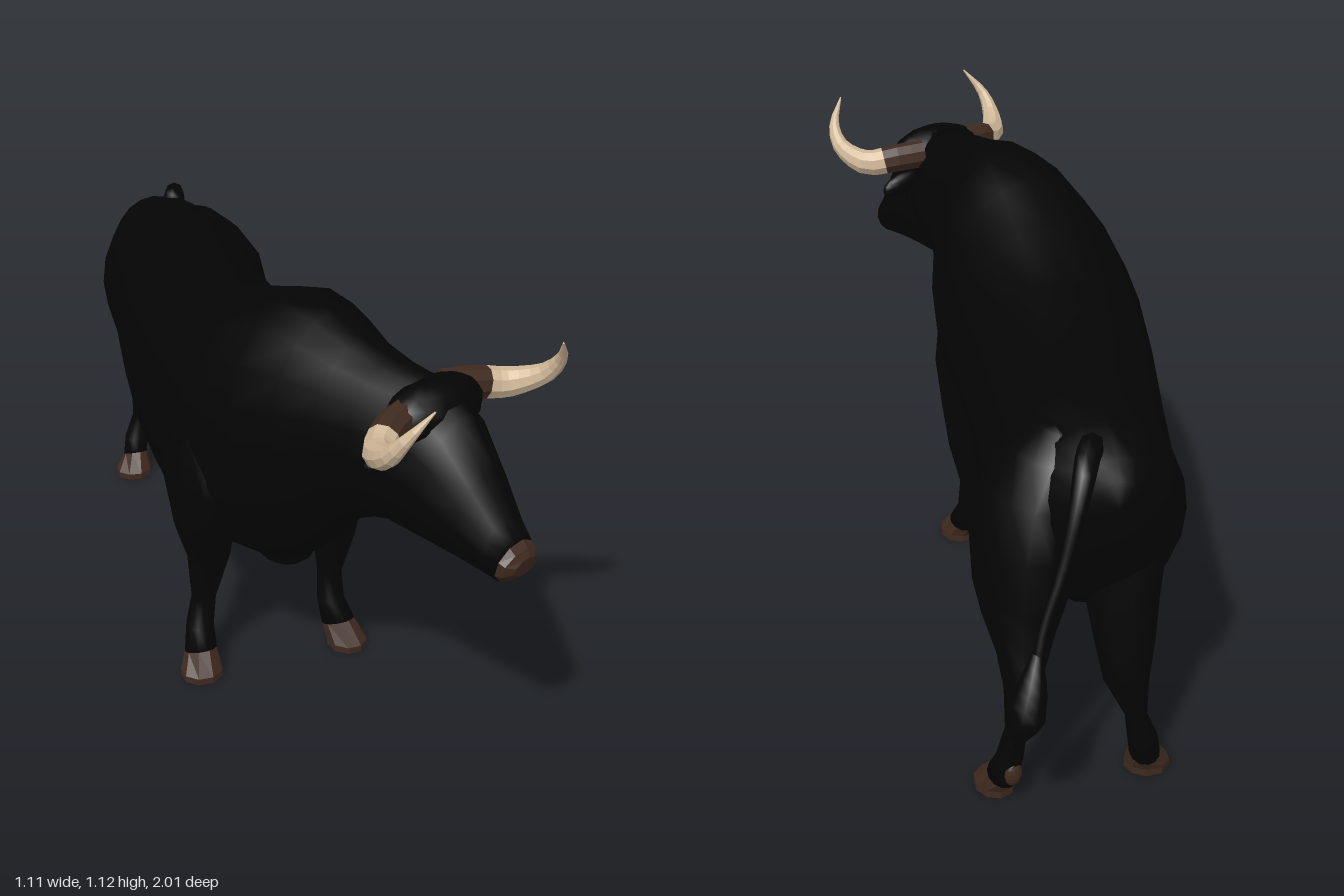
import * as THREE from 'three';

const V = (x, y, z) => new THREE.Vector3(x, y, z);

// Skin closed rings {c, u, v} (centre and two half axes), capped at both ends
function loft(rings, n) {
  const pos = [], idx = [];
  for (const { c, u, v } of rings) {
    for (let j = 0; j < n; j++) {
      const a = (j / n) * Math.PI * 2;
      const p = c.clone().addScaledVector(u, Math.cos(a)).addScaledVector(v, Math.sin(a));
      pos.push(p.x, p.y, p.z);
    }
  }
  for (let i = 0; i < rings.length - 1; i++) {
    for (let j = 0; j < n; j++) {
      const k = (j + 1) % n, a = i * n + j, b = i * n + k;
      idx.push(a, b, a + n, b, b + n, a + n);
    }
  }
  const s = rings.length * n, e = s + 1, last = s - n;
  pos.push(...rings[0].c.toArray(), ...rings[rings.length - 1].c.toArray());
  for (let j = 0; j < n; j++) {
    const k = (j + 1) % n;
    idx.push(s, k, j, e, last + j, last + k);
  }
  const g = new THREE.BufferGeometry();
  g.setAttribute('position', new THREE.Float32BufferAttribute(pos, 3));
  g.setIndex(idx);
  g.computeVertexNormals();
  return g;
}

// Upright ring: x, top y, top z, bottom y, bottom z, half width, yaw
const slice = ([x, ty, tz, by, bz, w, a = 0]) => ({
  c: V(x, (ty + by) / 2, (tz + bz) / 2),
  u: V(Math.cos(a) * w, 0, Math.sin(a) * w),
  v: V(0, (ty - by) / 2, (tz - bz) / 2),
});

// Level ring for limbs: x, y, z, half width, half depth, rise at the front
const level = (a) => ([x, y, z, w, d, rise = 0]) => ({
  c: V(x, y, z),
  u: V(Math.cos(a) * w, 0, Math.sin(a) * w),
  v: V(-Math.sin(a) * d, rise, Math.cos(a) * d),
});

// Tapered tube along part t0..t1 of a curve; radii spread evenly over the whole curve
function taper(points, radii, t0, t1, steps, n) {
  const curve = new THREE.CatmullRomCurve3(points.map((p) => V(...p)));
  const f = curve.computeFrenetFrames(40);
  const rings = [];
  for (let i = 0; i <= steps; i++) {
    const t = t0 + ((t1 - t0) * i) / steps;
    const q = t * (radii.length - 1), k = Math.min(Math.floor(q), radii.length - 2);
    const r = THREE.MathUtils.lerp(radii[k], radii[k + 1], q - k);
    const m = Math.round(t * 40);
    rings.push({
      c: curve.getPointAt(t),
      u: f.normals[m].clone().multiplyScalar(r),
      v: f.binormals[m].clone().multiplyScalar(r),
    });
  }
  return loft(rings, n);
}

export function createModel() {
  const bull = new THREE.Group();
  bull.name = 'bull';
  const material = (name, color, flatShading) => {
    const m = new THREE.MeshStandardMaterial({ color, flatShading });
    m.name = name;
    return m;
  };
  const black = material('black coat', 0x040404, false);
  const brown = material('dark brown', 0x3f2a1f, true);
  const cream = material('horn cream', 0xd0b898, true);
  const add = (name, geometry, mat) => {
    const m = new THREE.Mesh(geometry, mat);
    m.name = name;
    bull.add(m);
    return m;
  };
  const addBall = (name, mat, position, scale) => {
    const m = add(name, new THREE.SphereGeometry(1, 14, 9), mat);
    m.position.set(...position);
    m.scale.set(...scale);
    return m;
  };

  // Torso and neck, rear to front: x, z, top, bottom, half width, yaw
  const torso = [
    [0.25, -0.93, 0.84, 0.7, 0.05, 0.4],
    [0.24, -0.9, 0.88, 0.58, 0.125, 0.4],
    [0.2, -0.8, 0.912, 0.44, 0.19, 0.4],
    [0.148, -0.65, 0.92, 0.4, 0.213, 0.42],
    [0.04, -0.45, 0.902, 0.375, 0.228, 0.44],
    [-0.09, -0.2, 0.935, 0.36, 0.247, 0.42],
    [-0.18, 0, 1.0, 0.34, 0.262, 0.36],
    [-0.222, 0.15, 1.062, 0.34, 0.26, 0.27],
    [-0.245, 0.28, 1.105, 0.375, 0.23, 0.18],
    [-0.265, 0.4, 1.095, 0.485, 0.187, 0.08],
    [-0.275, 0.5, 1.065, 0.6, 0.152, 0],
    [-0.28, 0.6, 1.05, 0.655, 0.13, 0],
    [-0.275, 0.7, 1.04, 0.68, 0.115, 0],
  ];
  add('torso', loft(torso.map(([x, z, t, b, w, a]) => slice([x, t, z, b, z, w, a])), 20), black);
  addBall('brisket', black, [-0.215, 0.38, 0.17], [0.075, 0.072, 0.1]);

  // Head slopes down to a blunt muzzle
  add('head', loft([
    [-0.277, 1.04, 0.62, 0.7, 0.57, 0.1],
    [-0.275, 1.04, 0.73, 0.66, 0.64, 0.12],
    [-0.27, 0.985, 0.815, 0.655, 0.74, 0.11],
    [-0.265, 0.88, 0.885, 0.65, 0.84, 0.089],
    [-0.262, 0.79, 0.945, 0.64, 0.91, 0.066],
    [-0.26, 0.745, 0.975, 0.636, 0.95, 0.06],
  ].map(slice), 14), black);
  add('muzzle', loft([
    [-0.26, 0.745, 0.975, 0.636, 0.95, 0.06],
    [-0.26, 0.73, 0.99, 0.645, 0.968, 0.056],
    [-0.26, 0.712, 1.0, 0.665, 0.99, 0.035],
  ].map(slice), 9), brown);

  // Broad brow that carries the horns
  addBall('brow', black, [-0.27, 0.97, 0.72], [0.138, 0.072, 0.075]);

  // Horns with dark bases, and ears below them
  const hornPath = [
    [-0.34, 0.982, 0.712], [-0.42, 0.975, 0.735], [-0.49, 0.965, 0.772],
    [-0.532, 1.0, 0.845], [-0.53, 1.05, 0.888], [-0.487, 1.115, 0.925],
  ];
  const hornRadii = [0.04, 0.039, 0.036, 0.025, 0.014, 0.002];
  for (const side of ['right', 'left']) {
    const left = side === 'left';
    const path = left ? hornPath.map(([x, y, z]) => [-0.54 - x, y, z - 0.035]) : hornPath;
    add(side + 'HornBase', taper(path, hornRadii, 0, 0.275, 3, 9), brown);
    add(side + 'Horn', taper(path, hornRadii, 0.275, 1, 10, 9), cream);
    const earPosition = left ? [-0.13, 0.905, 0.68] : [-0.415, 0.905, 0.715];
    const ear = addBall(side + 'Ear', black, earPosition, [0.062, 0.03, 0.02]);
    ear.rotation.z = left ? -0.3 : 0.3;
  }

  // Legs, top to bottom; the final entry is the sole of the hoof
  const legs = {
    leftFront: [0.2, [
      [-0.1, 0.84, 0.2, 0.04, 0.06], [-0.08, 0.74, 0.2, 0.085, 0.13],
      [-0.06, 0.55, 0.19, 0.09, 0.135],
      [-0.05, 0.43, 0.18, 0.075, 0.09], [-0.045, 0.32, 0.182, 0.055, 0.055],
      [-0.048, 0.2, 0.168, 0.032, 0.033], [-0.047, 0.12, 0.172, 0.036, 0.036],
      [-0.045, 0.058, 0.2, 0.043, 0.042, 0.016], [-0.043, 0, 0.232, 0.052, 0.058]]],
    rightFront: [0.3, [
      [-0.36, 0.84, 0.08, 0.04, 0.06], [-0.38, 0.72, 0.08, 0.09, 0.13],
      [-0.388, 0.57, 0.07, 0.092, 0.135],
      [-0.38, 0.43, 0.06, 0.075, 0.09], [-0.362, 0.33, 0.05, 0.055, 0.056],
      [-0.37, 0.2, 0.036, 0.031, 0.034], [-0.385, 0.12, 0.036, 0.036, 0.036],
      [-0.4, 0.058, 0.055, 0.042, 0.042, 0.016], [-0.418, 0, 0.08, 0.056, 0.053]]],
    leftHind: [0.1, [
      [0.27, 0.88, -0.71, 0.03, 0.05], [0.285, 0.83, -0.7, 0.075, 0.11],
      [0.325, 0.74, -0.69, 0.095, 0.145], [0.345, 0.62, -0.69, 0.107, 0.155],
      [0.355, 0.5, -0.71, 0.105, 0.135], [0.375, 0.43, -0.735, 0.081, 0.11],
      [0.397, 0.36, -0.78, 0.054, 0.073], [0.42, 0.29, -0.808, 0.033, 0.05],
      [0.433, 0.19, -0.815, 0.024, 0.033],
      [0.45, 0.11, -0.81, 0.032, 0.035], [0.455, 0.058, -0.793, 0.037, 0.038, 0.016],
      [0.456, 0, -0.757, 0.047, 0.055]]],
    rightHind: [0.4, [
      [0.15, 0.88, -0.77, 0.03, 0.05], [0.14, 0.82, -0.77, 0.075, 0.1],
      [0.12, 0.74, -0.76, 0.098, 0.13], [0.127, 0.6, -0.78, 0.098, 0.14],
      [0.15, 0.48, -0.81, 0.088, 0.115], [0.172, 0.38, -0.86, 0.072, 0.075],
      [0.188, 0.29, -0.895, 0.054, 0.045], [0.162, 0.18, -0.902, 0.026, 0.033],
      [0.142, 0.11, -0.905, 0.036, 0.034], [0.13, 0.058, -0.9, 0.037, 0.036, 0.016],
      [0.11, 0, -0.883, 0.055, 0.05]]],
  };
  for (const [name, [yaw, sections]] of Object.entries(legs)) {
    const [x, , z, w, d] = sections[sections.length - 1];
    const ring = level(yaw);
    add(name + 'Leg', loft(sections.slice(0, -1).map(ring), 12), black);
    const hoof = [sections[sections.length - 2], [x, 0.018, z, w, d], [x, 0, z, w, d]];
    add(name + 'Hoof', loft(hoof.map(ring), 9), brown);
  }
  addBall('leftHindDewclaw', brown, [0.453, 0.085, -0.834], [0.022, 0.034, 0.017]);

  // Belly sheath
  const sheath = add('sheath', new THREE.ConeGeometry(0.055, 0.09, 10), black);
  sheath.position.set(0.06, 0.375, -0.46);
  sheath.rotation.x = Math.PI;

  // Tail swings out to the left and ends in a tuft
  add('tail', taper([
    [0.25, 0.875, -0.82], [0.3, 0.885, -0.875], [0.345, 0.82, -0.915],
    [0.395, 0.68, -0.935], [0.445, 0.55, -0.94], [0.47, 0.46, -0.95],
  ], [0.03, 0.026, 0.018, 0.014, 0.012, 0.013], 0, 1, 14, 8), black);
  add('tailTuft', taper([
    [0.465, 0.49, -0.945], [0.487, 0.42, -0.958], [0.505, 0.36, -0.963], [0.525, 0.27, -0.955],
  ], [0.012, 0.035, 0.046, 0.002], 0, 1, 8, 8), black);

  return bull;
}
